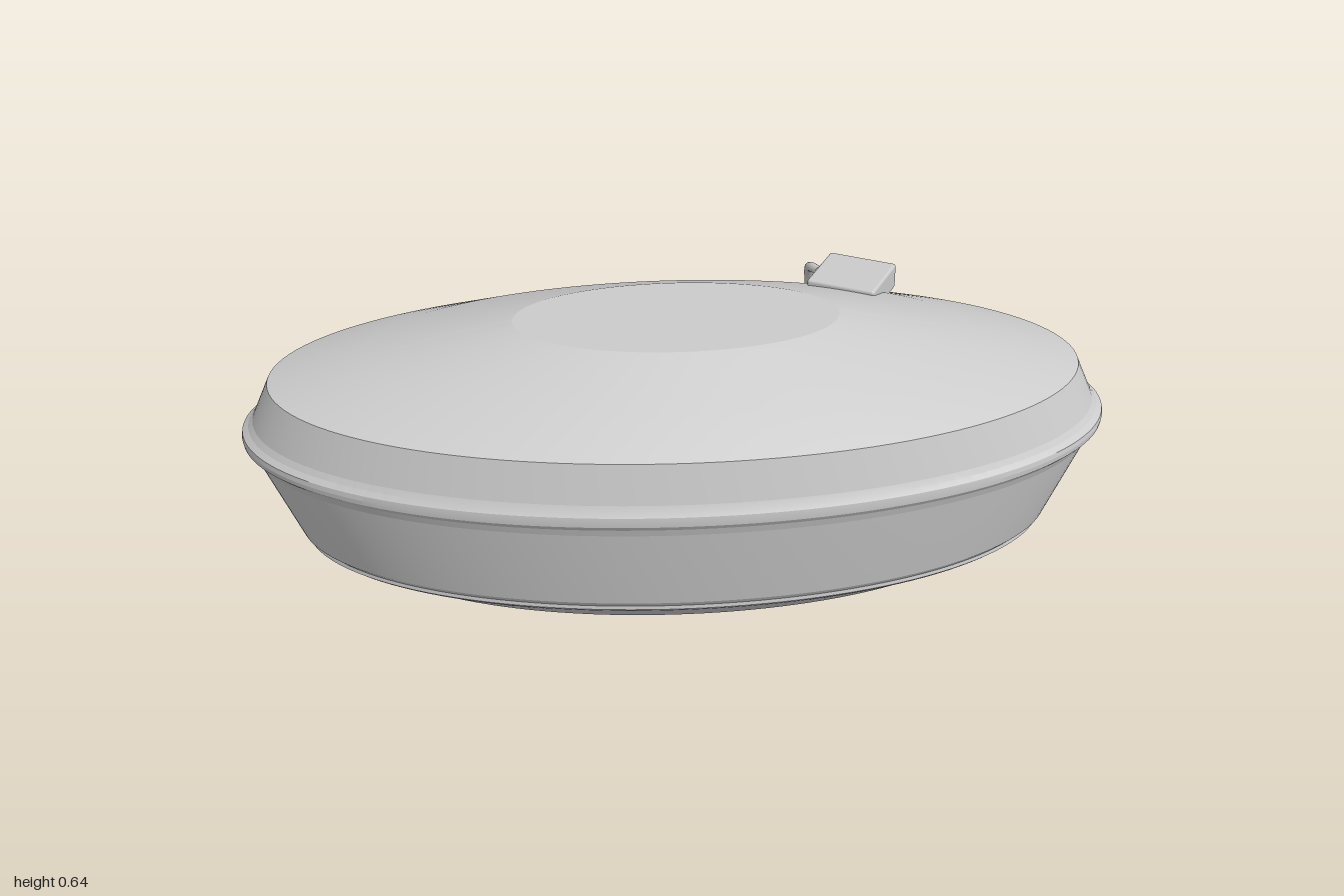
import * as THREE from 'three';
import { toCreasedNormals } from 'three/addons/utils/BufferGeometryUtils.js';
import { RoundedBoxGeometry } from 'three/addons/geometries/RoundedBoxGeometry.js';

const material = new THREE.MeshStandardMaterial({ color: 0xcccccc, side: THREE.DoubleSide });
const HALF_LENGTH = 1.103;
const HALF_WIDTH = 0.51;
const YAW = -0.496;

// Oval solid: a lathe profile of [radius fraction, height], stretched into an ellipse
function ovalShell(name, profile) {
  const points = profile.map(([r, y]) => new THREE.Vector2(r, y));
  const geometry = new THREE.LatheGeometry(points, 128);
  geometry.scale(HALF_LENGTH, 1, HALF_WIDTH);
  const mesh = new THREE.Mesh(toCreasedNormals(geometry, 0.2), material);
  mesh.name = name;
  mesh.rotation.y = YAW;
  return mesh;
}

export function createModel() {
  const model = new THREE.Group();
  model.name = 'ovalBox';

  // Tapering body with a bevelled foot
  model.add(ovalShell('body', [
    [0, 0], [0.745, 0], [0.785, 0.022], [0.862, 0.055], [0.872, 0.062],
    [0.87, 0.072], [0.885, 0.085], [0.972, 0.31], [0.98, 0.335],
  ]));

  // Rounded rim where the lid meets the body
  model.add(ovalShell('rim', [
    [0.972, 0.31], [0.984, 0.33], [0.998, 0.342], [1, 0.355],
    [0.998, 0.368], [0.984, 0.38], [0.973, 0.395],
  ]));

  // Lid with a steep side, a shallow dome and a flat centre
  model.add(ovalShell('lid', [
    [0.973, 0.395], [0.932, 0.497], [0.72, 0.56], [0.372, 0.64], [0, 0.64],
  ]));

  // Square catch resting on the lid
  const catchBlock = new THREE.Mesh(new RoundedBoxGeometry(0.187, 0.07, 0.187, 2, 0.008), material);
  catchBlock.name = 'catch';
  catchBlock.position.set(0.575, 0.565, -0.037);
  catchBlock.rotation.y = 0.6;
  model.add(catchBlock);

  // Cord dropping from the catch and trailing along the lid side
  const path = new THREE.CatmullRomCurve3([
    [0.53, 0.578, -0.12], [0.535, 0.572, -0.165], [0.55, 0.55, -0.195], [0.567, 0.5, -0.215],
    [0.572, 0.43, -0.225], [0.56, 0.393, -0.238], [0.5, 0.396, -0.28],
    [0.425, 0.4, -0.335], [0.365, 0.402, -0.395], [0.3, 0.408, -0.435],
    [0.25, 0.414, -0.458], [0.212, 0.416, -0.447],
  ].map((p) => new THREE.Vector3(...p)));
  const cord = new THREE.Mesh(new THREE.TubeGeometry(path, 80, 0.013, 10), material);
  cord.name = 'cord';
  model.add(cord);

  // Rounded cord end
  const cordEnd = new THREE.Mesh(new THREE.SphereGeometry(0.013, 10, 8), material);
  cordEnd.name = 'cordEnd';
  cordEnd.position.copy(path.getPoint(1));
  model.add(cordEnd);

  return model;
}
